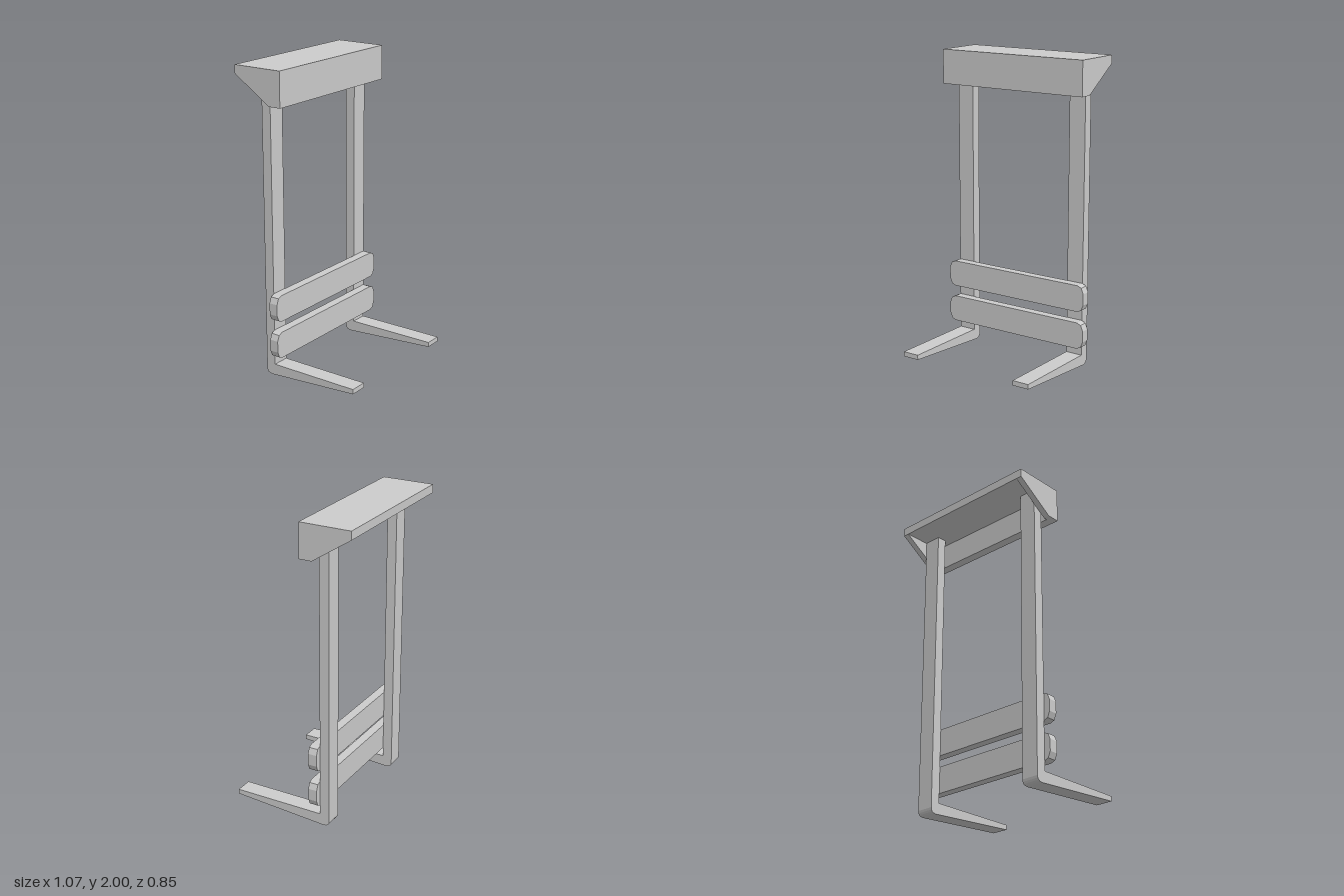
import * as THREE from 'three';

const material = new THREE.MeshStandardMaterial({ color: 0xcccccc, flatShading: true });

function addMesh(parent, geometry, name) {
  const mesh = new THREE.Mesh(geometry, material);
  mesh.name = name;
  parent.add(mesh);
  return mesh;
}

// Box given by its minimum and maximum corners
function addBox(parent, name, [x0, y0, z0], [x1, y1, z1]) {
  const mesh = addMesh(parent, new THREE.BoxGeometry(x1 - x0, y1 - y0, z1 - z0), name);
  mesh.position.set((x0 + x1) / 2, (y0 + y1) / 2, (z0 + z1) / 2);
  return mesh;
}

// Side profile drawn as (z, y), extruded along x and centred on its own x = 0
function sideExtrude(shape, width) {
  const geometry = new THREE.ExtrudeGeometry(shape, { depth: width, bevelEnabled: false, curveSegments: 4 });
  geometry.translate(0, 0, -width / 2);
  geometry.rotateY(-Math.PI / 2);
  return geometry;
}

// L-shaped upright with a tapered foot and a rounded heel
function legShape() {
  const s = new THREE.Shape();
  s.moveTo(-0.215, 0);
  s.lineTo(0.425, 0.043);
  s.lineTo(0.425, 0.075);
  s.lineTo(-0.19, 0.075);
  s.lineTo(-0.19, 1.945);
  s.lineTo(-0.255, 1.945);
  s.lineTo(-0.255, 0.035);
  s.quadraticCurveTo(-0.255, 0.002, -0.215, 0);
  return s;
}

// Board outline with cut corners
function boardShape(halfWidth, halfHeight) {
  const corner = [
    [halfWidth, halfHeight - 0.05],
    [halfWidth - 0.016, halfHeight - 0.012],
    [halfWidth - 0.045, halfHeight],
  ];
  const flip = (sx, sy) => corner.map(([x, y]) => new THREE.Vector2(x * sx, y * sy));
  return new THREE.Shape([
    ...flip(1, 1), ...flip(-1, 1).reverse(), ...flip(-1, -1), ...flip(1, -1).reverse(),
  ]);
}

export function createModel() {
  const model = new THREE.Group();
  model.name = 'stand';

  // Legs and end panels, mirrored left and right
  const legGeometry = sideExtrude(legShape(), 0.115);
  const endPanel = new THREE.Shape([
    [-0.08, 2], [-0.425, 2], [-0.425, 1.945], [-0.165, 1.775], [-0.08, 1.775],
  ].map(([z, y]) => new THREE.Vector2(z, y)));
  const endGeometry = sideExtrude(endPanel, 0.04);
  for (const [side, sign] of [['left', 1], ['right', -1]]) {
    addMesh(model, legGeometry, side + 'Leg').position.x = sign * 0.4325;
    addMesh(model, endGeometry, side + 'EndPanel').position.x = sign * 0.513;
  }

  // Hood, open underneath
  addBox(model, 'topPanel', [-0.493, 1.945, -0.425], [0.493, 2, -0.08]);
  addBox(model, 'frontPanel', [-0.493, 1.775, -0.14], [0.493, 1.945, -0.08]);

  // Cross boards on the front of the legs
  const boardGeometry = new THREE.ExtrudeGeometry(boardShape(0.533, 0.0875), { depth: 0.06, bevelEnabled: false });
  for (const [name, y] of [['lowerBoard', 0.225], ['upperBoard', 0.474]]) {
    addMesh(model, boardGeometry, name).position.set(0, y, -0.19);
  }

  return model;
}
